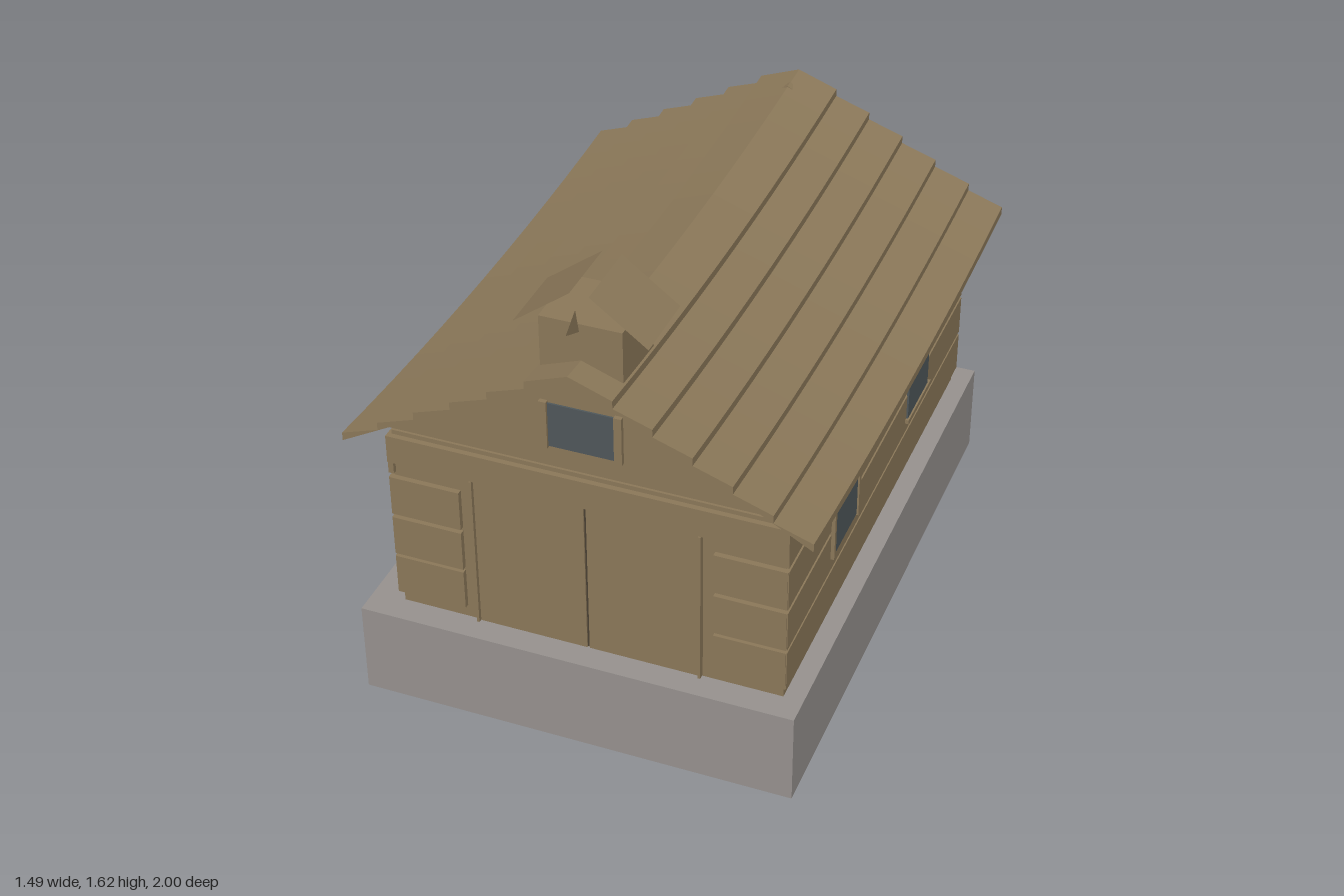
import * as THREE from 'three';

const mat = (name, color) => {
  const m = new THREE.MeshStandardMaterial({ color });
  m.name = name;
  return m;
};

export function createModel() {
  const wood = mat('weathered wood', 0x8b7859);
  const stone = mat('foundation stone', 0x96918e);
  const glass = mat('window glass', 0x4f575a);
  const gap = mat('dark gap', 0x4a4033);
  const woodThin = mat('thin wood', 0x8b7859);
  woodThin.side = THREE.DoubleSide;

  const root = new THREE.Group();
  root.name = 'cabin';

  const add = (name, geo, material) => {
    const mesh = new THREE.Mesh(geo, material);
    mesh.name = name;
    root.add(mesh);
    return mesh;
  };
  // Box given by its limits on each axis
  const box = (name, material, x0, x1, y0, y1, z0, z1) => {
    const mesh = add(name, new THREE.BoxGeometry(x1 - x0, y1 - y0, z1 - z0), material);
    mesh.position.set((x0 + x1) / 2, (y0 + y1) / 2, (z0 + z1) / 2);
    return mesh;
  };
  // Box mirrored to both sides of x = 0
  const pair = (name, material, x0, x1, ...rest) => {
    box(name, material, x0, x1, ...rest);
    box(name, material, -x1, -x0, ...rest);
  };

  // Foundation and wall core
  box('foundation', stone, -0.745, 0.7, 0, 0.32, -0.98, 0.99);
  box('wallCore', wood, -0.635, 0.635, 0.32, 0.985, -0.9, 0.9);

  // Wall planks: long sides, back, and short ones beside the door
  const rows = [[0.365, 0.507], [0.518, 0.66], [0.674, 0.815], [0.83, 0.97]];
  rows.forEach(([y0, y1], i) => {
    pair('sidePlank', wood, 0.63, 0.648, y0, y1, -0.915, 0.915);
    box('backPlank', wood, -0.64, 0.64, y0, y1, -0.915, -0.89);
    if (i < 3) pair('frontPlank', wood, 0.413, 0.645, y0, y1, 0.89, 0.918);
  });
  box('frontBeam', wood, -0.648, 0.648, 0.872, 0.97, 0.89, 0.918);

  // Double door with frame
  box('doorGap', gap, -0.006, 0.006, 0.325, 0.87, 0.9, 0.904);
  pair('doorLeaf', wood, 0.004, 0.365, 0.325, 0.87, 0.89, 0.91);
  pair('doorFrame', wood, 0.366, 0.374, 0.325, 0.872, 0.89, 0.922);

  // Gables at both ends
  const tri = new THREE.Shape([
    new THREE.Vector2(-0.665, 1.0), new THREE.Vector2(0.665, 1.0), new THREE.Vector2(0, 1.388),
  ]);
  for (const z of [0.88, -0.91]) {
    const gable = add('gable', new THREE.ExtrudeGeometry(tri, { depth: 0.03, bevelEnabled: false }), wood);
    gable.position.z = z;
  }
  box('gableWindow', glass, -0.108, 0.105, 1.075, 1.228, 0.908, 0.916);
  pair('gableWindowJamb', wood, 0.106, 0.131, 1.07, 1.235, 0.9, 0.925);

  // Side windows: jambs on the front pair, lintel and sill on the rear pair
  pair('sideWindow', glass, 0.646, 0.654, 0.57, 0.77, 0.275, 0.5);
  pair('sideWindow', glass, 0.646, 0.654, 0.57, 0.77, -0.5, -0.275);
  pair('windowJamb', wood, 0.64, 0.66, 0.565, 0.77, 0.5, 0.515);
  pair('windowJamb', wood, 0.64, 0.66, 0.565, 0.77, 0.258, 0.275);
  pair('windowLintel', wood, 0.64, 0.66, 0.77, 0.79, -0.52, -0.255);
  pair('windowSill', wood, 0.64, 0.66, 0.555, 0.57, -0.52, -0.265);

  // Sagging roof of overlapping boards, each a wedge swept along z
  const sag = (z) => -0.045 + 0.04 * z * z + 0.005 * z;
  const slope = (x) => 1.4 - 0.557 * x;
  const STEPS = 12;
  const roofBoard = (x0, x1, side) => {
    const section = [[x0, slope(x0)], [x1, slope(x1)], [x1, slope(x1) + 0.028], [x0, slope(x0) + 0.002]];
    const pos = [];
    const quad = (a, b, c, d) => pos.push(...a, ...b, ...c, ...a, ...c, ...d);
    const ring = (z) => {
      const pts = section.map(([x, y]) => [side * x, y + sag(z), z]);
      return side > 0 ? pts : pts.reverse();
    };
    for (let i = 0; i < STEPS; i++) {
      const a = ring(-1 + (2 * i) / STEPS), b = ring(-1 + (2 * (i + 1)) / STEPS);
      for (let k = 0; k < 4; k++) {
        const n = (k + 1) % 4;
        quad(a[k], a[n], b[n], b[k]);
      }
    }
    quad(...ring(1));
    quad(...ring(-1).reverse());
    const geo = new THREE.BufferGeometry();
    geo.setAttribute('position', new THREE.Float32BufferAttribute(pos, 3));
    geo.computeVertexNormals();
    return geo;
  };
  const edges = [0, 0.137, 0.258, 0.38, 0.502, 0.625, 0.747];
  for (const side of [1, -1]) {
    for (let i = 0; i < 6; i++) add('roofBoard', roofBoard(edges[i], edges[i + 1], side), wood);
  }

  // Ridge vent with two thin tilted covers
  box('ridgeVent', wood, -0.13, 0.13, 1.28, 1.518, 0.668, 0.9);
  for (const side of [1, -1]) {
    const cover = add('ventCover', new THREE.PlaneGeometry(Math.hypot(0.18, 0.135), 0.245), woodThin);
    cover.rotation.set(-Math.PI / 2, side * Math.atan2(0.135, 0.18), 0);
    cover.position.set(side * 0.12, 1.549, 0.78);
  }

  // Small pointed fin ahead of the vent
  const fin = new THREE.BufferGeometry().setFromPoints([
    new THREE.Vector3(0, 1.54, 1.0), new THREE.Vector3(0, 1.497, 0.908), new THREE.Vector3(0, 1.585, 0.93),
  ]);
  fin.computeVertexNormals();
  add('ventFin', fin, woodThin);

  return root;
}
